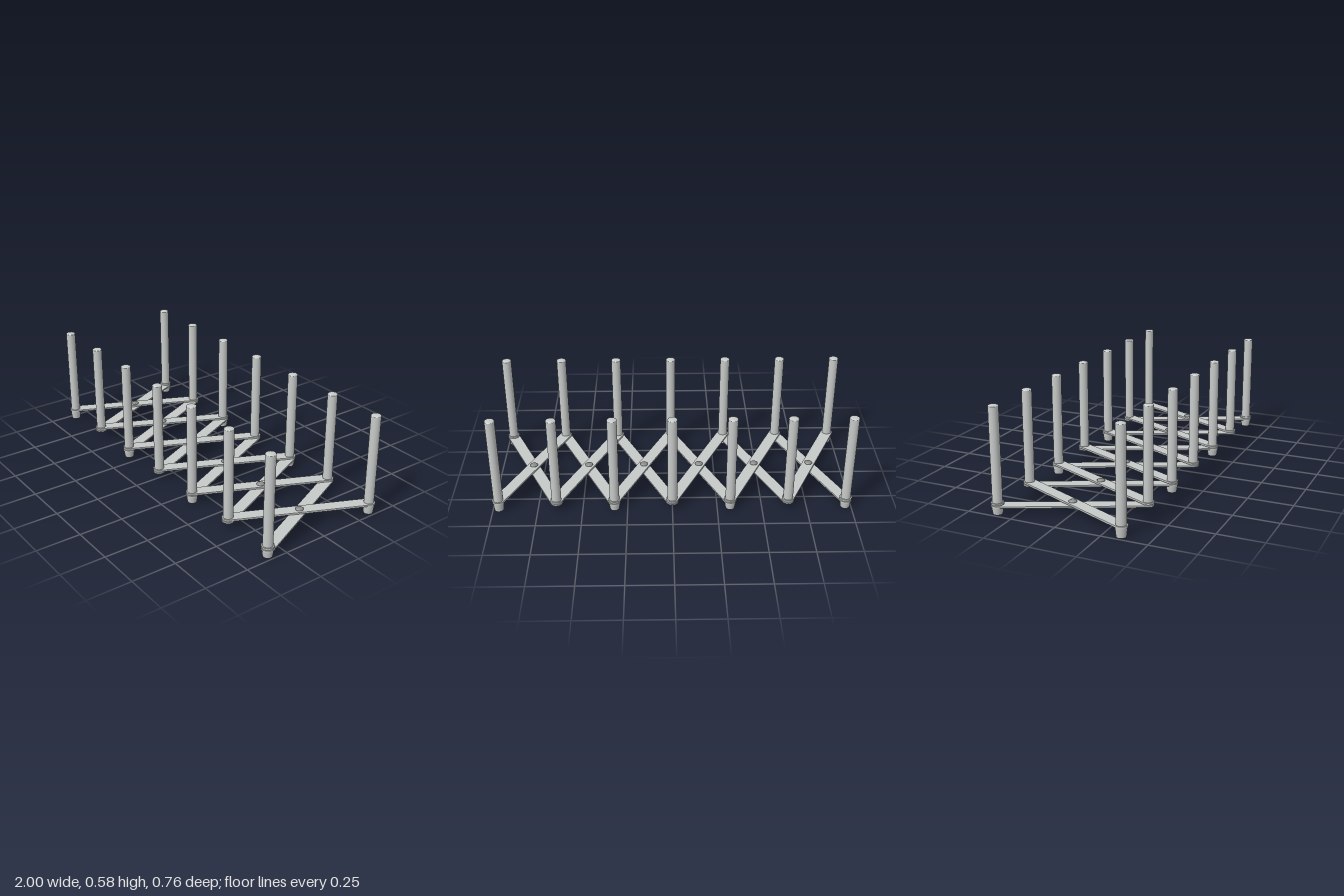
import * as THREE from 'three';

const STEP = 0.322, Z = 0.346, BAR_R = 0.034;
const LOW = [0.042, 0.051], HIGH = [0.055, 0.065];

const steel = new THREE.MeshStandardMaterial({ color: 0xc6cac8 });
steel.name = 'light grey';
const rivet = new THREE.MeshStandardMaterial({ color: 0x8a8c8c });
rivet.name = 'rivet grey';

function add(group, name, geometry, material, x, y, z) {
  const mesh = new THREE.Mesh(geometry, material);
  mesh.name = name;
  mesh.position.set(x, y, z);
  group.add(mesh);
  return mesh;
}

// Turned solid; every straight run gets its own lathe so edges stay sharp
function turned(group, name, runs, material, x, z) {
  const part = new THREE.Group();
  part.name = name;
  part.position.set(x, 0, z);
  for (const run of runs) {
    const points = run.map(([r, y]) => new THREE.Vector2(r, y));
    add(part, name + 'Surface', new THREE.LatheGeometry(points, 32), material, 0, 0, 0);
  }
  group.add(part);
}

// Shallow dome profile from the rim to the axis
function dome(r, y, h) {
  return Array.from({ length: 7 }, (_, i) => {
    const a = (i / 6) * Math.PI / 2;
    return [i === 6 ? 0 : r * Math.cos(a), y + h * Math.sin(a)];
  });
}

function disc(group, name, r, y0, y1, material, x, z) {
  add(group, name, new THREE.CylinderGeometry(r, r, y1 - y0, 32), material, x, (y0 + y1) / 2, z);
}

// Flat bar with rounded ends, lying along its local x
function barGeometry(length, thickness) {
  const s = new THREE.Shape(), h = length / 2;
  s.absarc(h, 0, BAR_R, -Math.PI / 2, Math.PI / 2, false);
  s.absarc(-h, 0, BAR_R, Math.PI / 2, Math.PI * 1.5, false);
  s.closePath();
  const g = new THREE.ExtrudeGeometry(s, { depth: thickness, bevelEnabled: false, curveSegments: 16 });
  return g.rotateX(-Math.PI / 2);
}

export function createModel() {
  const model = new THREE.Group();
  model.name = 'expandingRack';
  const length = Math.hypot(STEP, 2 * Z), angle = Math.atan2(2 * Z, STEP);

  // Crossed bars and the rivet at each crossing
  for (let i = 0; i < 6; i++) {
    const x = (i - 2.5) * STEP;
    add(model, 'upperBar', barGeometry(length, HIGH[1] - HIGH[0]), steel, x, HIGH[0], 0).rotation.y = angle;
    add(model, 'lowerBar', barGeometry(length, LOW[1] - LOW[0]), steel, x, LOW[0], 0).rotation.y = -angle;
    disc(model, 'pivotWasher', 0.024, LOW[1], HIGH[0], rivet, x, 0);
    disc(model, 'pivotPin', 0.011, 0.033, LOW[0], rivet, x, 0);
    turned(model, 'pivotHead', [[[0.022, 0.065], [0.022, 0.067]], dome(0.022, 0.067, 0.009)], rivet, x, 0);
  }

  for (const side of [-1, 1]) {
    for (let i = 0; i < 7; i++) {
      const x = (i - 3) * STEP, z = side * Z;
      const end = i === 0 ? -1 : i === 6 ? 1 : 0;
      const upperOnly = end !== 0 && end !== side;
      const lowerOnly = end !== 0 && end === side;

      // Upright post with a domed top
      turned(model, 'post', [[[0.027, 0.065], [0.027, 0.573]], dome(0.027, 0.573, 0.008)], steel, x, z);

      // Joint core, and a washer where the upper bar is missing
      if (!upperOnly) disc(model, 'jointSpacer', 0.024, LOW[1], HIGH[0], steel, x, z);
      if (lowerOnly) disc(model, 'endWasher', BAR_R, HIGH[0], HIGH[1], steel, x, z);

      // Tapered foot under every second post, a small cap under the others
      if (i % 2 === 0) {
        const top = upperOnly ? HIGH[0] : LOW[0];
        turned(model, 'foot', [
          [[0, 0], [0.021, 0]],
          [[0.021, 0], [0.0245, 0.001], [0.026, 0.005], [0.031, top - 0.004], [0.031, top]],
          [[0.031, top], [0, top]],
        ], steel, x, z);
      } else {
        turned(model, 'jointCap', [
          [[0, 0.033], [0.017, 0.033]],
          [[0.017, 0.033], [0.021, 0.036], [0.022, LOW[0]]],
        ], steel, x, z);
      }
    }
  }
  return model;
}
